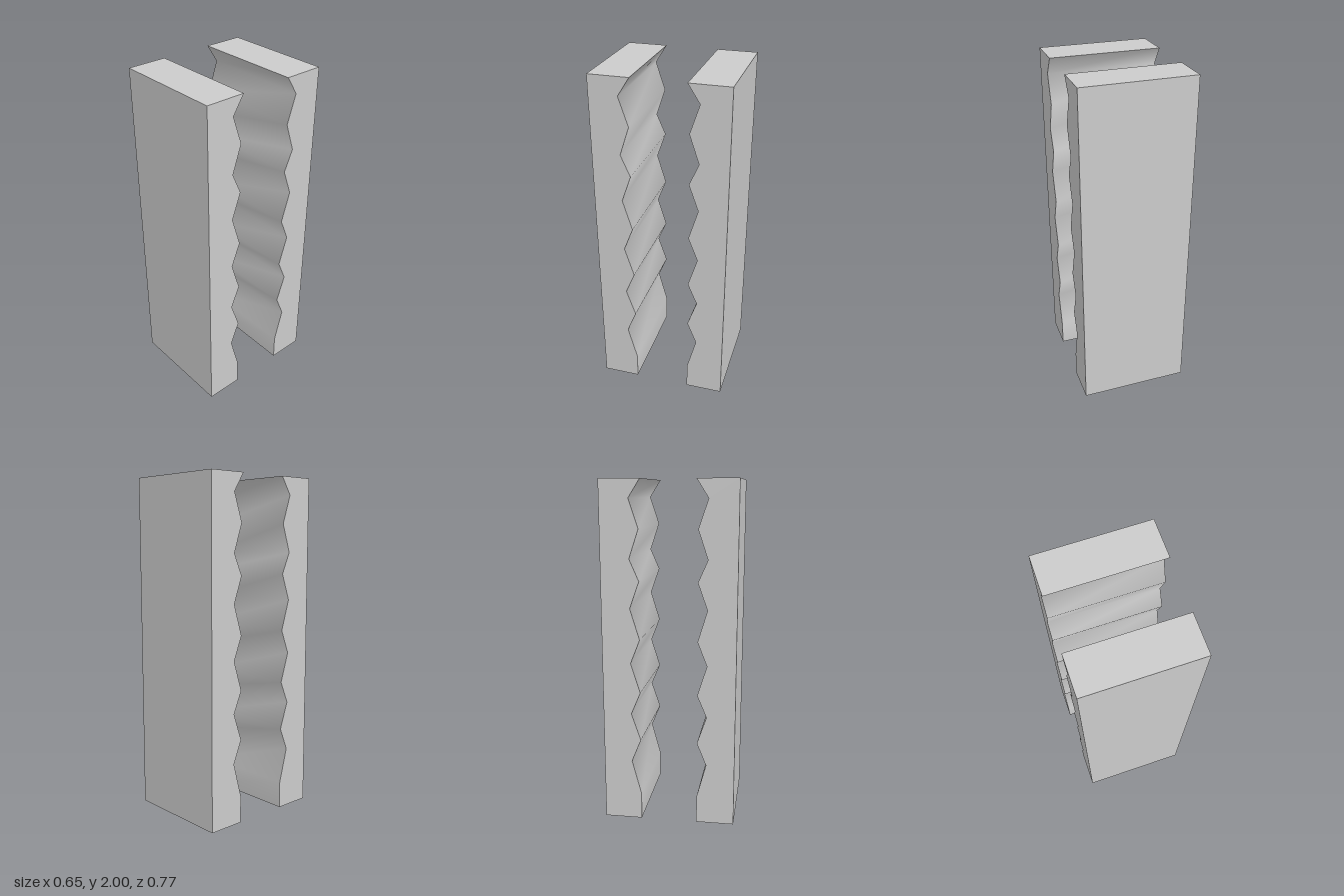
import * as THREE from 'three';
import { toCreasedNormals } from 'three/addons/utils/BufferGeometryUtils.js';

const WIDTH = 0.65, HEIGHT = 2, OUTER = 0.387;
const RIDGE = 0.166, GROOVE = 0.221, LIP = 0.154;

// heights of the alternating ridges and grooves on the inner face, bottom to top
const BENDS = [0.16, 0.365, 0.5, 0.66, 0.79, 0.965, 1.105, 1.285, 1.44, 1.565, 1.73, 1.895];

function slabGeometry() {
  // side profile: x is the distance from the middle of the gap
  const shape = new THREE.Shape();
  shape.moveTo(OUTER, 0);
  shape.lineTo(OUTER, HEIGHT);
  shape.lineTo(LIP, HEIGHT);
  for (let i = BENDS.length - 1; i >= 0; i--) {
    shape.lineTo(i % 2 ? GROOVE : RIDGE, BENDS[i]);
  }
  shape.lineTo(RIDGE, 0);
  shape.closePath();

  const geometry = new THREE.ExtrudeGeometry(shape, { depth: WIDTH, bevelEnabled: false });
  geometry.translate(0, 0, -WIDTH / 2);
  geometry.rotateY(-Math.PI / 2);
  // ridges shade smoothly, slab corners stay sharp
  return toCreasedNormals(geometry, Math.PI / 3);
}

export function createModel() {
  const model = new THREE.Group();
  model.name = 'ridgedSlabPair';
  const material = new THREE.MeshStandardMaterial({ color: 0xcccccc });
  const geometry = slabGeometry();

  // two matching slabs with their ridged faces turned towards each other
  ['frontSlab', 'backSlab'].forEach((name, i) => {
    const slab = new THREE.Mesh(geometry, material);
    slab.name = name;
    slab.rotation.y = i * Math.PI;
    model.add(slab);
  });
  return model;
}
